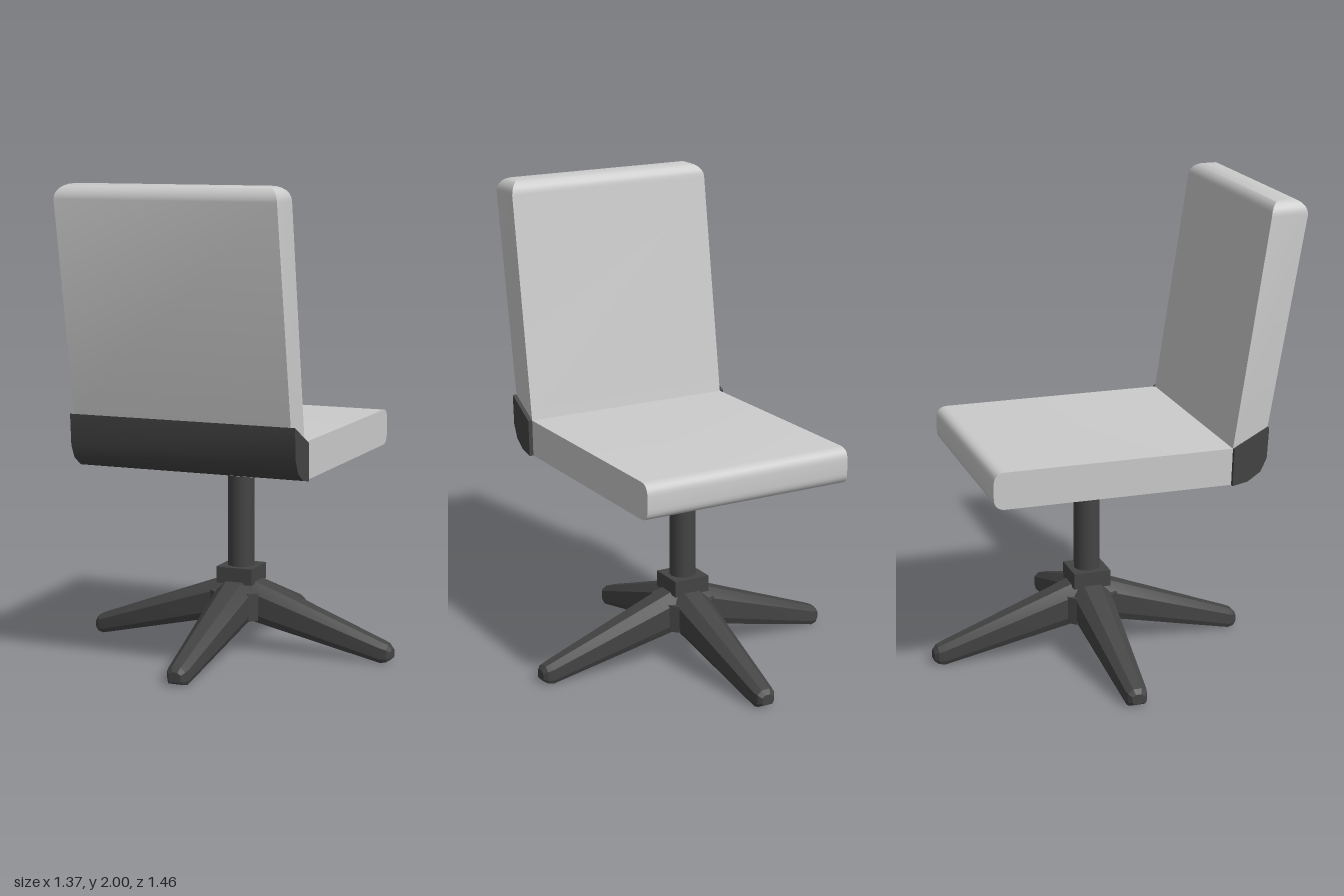
import * as THREE from 'three';
import { toCreasedNormals } from 'three/addons/utils/BufferGeometryUtils.js';

const grey = new THREE.MeshStandardMaterial({ color: 0xcccccc });
const dark = new THREE.MeshStandardMaterial({ color: 0x444444 });
const AXIS_Z = -0.045; // centre of the pedestal

// Skins a list of equal-length rings of [x, y, z] and closes both ends
function loft(rings, crease) {
  const n = rings[0].length, index = [];
  rings.slice(1).forEach((_, i) => {
    for (let j = 0; j < n; j++) {
      const a = i * n + j, b = i * n + (j + 1) % n;
      index.push(a, b, b + n, a, b + n, a + n);
    }
  });
  const last = (rings.length - 1) * n;
  for (let j = 1; j < n - 1; j++) index.push(0, j + 1, j, last, last + j, last + j + 1);
  const g = new THREE.BufferGeometry();
  g.setAttribute('position', new THREE.Float32BufferAttribute(rings.flat(2), 3));
  g.setIndex(index);
  return toCreasedNormals(g, crease);
}

// Extrudes a side profile, drawn in (z, y), across the width
function across(shape, halfWidth) {
  const g = new THREE.ExtrudeGeometry(shape, { depth: halfWidth * 2, bevelEnabled: false, curveSegments: 6 });
  g.rotateY(-Math.PI / 2).translate(halfWidth, 0, 0);
  return toCreasedNormals(g, 0.6);
}

// Bevelled cross-section of a foot at distance z
function footRing(z, w, bottom, top) {
  const shoulder = top - (top - bottom) * 0.25;
  return [[-w * 0.85, bottom], [w * 0.85, bottom], [w, bottom + (top - bottom) * 0.2], [w, shoulder],
    [w * 0.45, top], [-w * 0.45, top], [-w, shoulder], [-w, bottom + (top - bottom) * 0.2]]
    .map(([x, y]) => [x, y, z]);
}

export function createModel() {
  const group = new THREE.Group();
  const add = (name, geometry, material) => {
    const mesh = new THREE.Mesh(geometry, material);
    mesh.name = name;
    group.add(mesh);
    return mesh;
  };

  // Seat with rounded front edge
  const r = 0.05, front = -0.58, low = 0.835, high = 0.99;
  const seat = new THREE.Shape();
  seat.moveTo(0.43, low);
  seat.lineTo(0.43, high);
  seat.lineTo(front + r, high);
  seat.quadraticCurveTo(front, high, front, high - r);
  seat.lineTo(front, low + r);
  seat.quadraticCurveTo(front, low, front + r, low);
  seat.closePath();
  add('seat', across(seat, 0.47), grey);

  // Leaning backrest whose top rounds over on all four sides
  const backRing = (x, zBack, yBack, zFront, yFront) =>
    [[-x, yBack, zBack], [x, yBack, zBack], [x, yFront, zFront], [-x, yFront, zFront]];
  const rings = [backRing(0.47, 0.58, 1.07, 0.43, 0.99)];
  const round = 0.06;
  for (let i = 0; i <= 6; i++) {
    const a = i / 6 * Math.PI / 2;
    const inset = round * (1 - Math.cos(a)), y = 1.94 + round * Math.sin(a);
    rings.push(backRing(0.47 - inset, 0.73 - inset, y, 0.575 + inset, y));
  }
  add('backrest', loft(rings, 0.6), grey);

  // Dark bracket joining the seat and backrest
  const bracket = new THREE.Shape();
  bracket.moveTo(0.425, low);
  bracket.lineTo(0.49, 0.848);
  bracket.lineTo(0.545, 0.885);
  bracket.lineTo(0.572, 0.94);
  bracket.lineTo(0.58, 1.07);
  bracket.lineTo(0.43, 0.99);
  bracket.closePath();
  add('bracket', across(bracket, 0.488), dark);

  // Column and collar
  add('column', new THREE.CylinderGeometry(0.056, 0.056, 0.55, 16).translate(0, 0.575, AXIS_Z), dark);
  add('collar', new THREE.BoxGeometry(0.162, 0.07, 0.162).translate(0, 0.325, AXIS_Z), dark);

  // Hub with chamfered corners between the feet
  const hub = new THREE.Shape([[0.11, -0.08], [0.11, 0.08], [0.08, 0.11], [-0.08, 0.11],
    [-0.11, 0.08], [-0.11, -0.08], [-0.08, -0.11], [0.08, -0.11]].map(p => new THREE.Vector2(...p)));
  add('hub', new THREE.ExtrudeGeometry(hub, { depth: 0.118, bevelEnabled: false })
    .rotateX(-Math.PI / 2).translate(0, 0.14, AXIS_Z), dark);

  // Four tapered feet
  const foot = loft([
    footRing(0, 0.082, 0.135, 0.3),
    footRing(0.08, 0.082, 0.135, 0.3),
    footRing(0.645, 0.045, 0.003, 0.088),
    footRing(0.67, 0.04, 0.008, 0.078),
    footRing(0.686, 0.026, 0.018, 0.06),
  ], 0.3);
  for (let i = 0; i < 4; i++) {
    const mesh = add('foot', foot, dark);
    mesh.position.z = AXIS_Z;
    mesh.rotation.y = i * Math.PI / 2;
  }
  return group;
}
